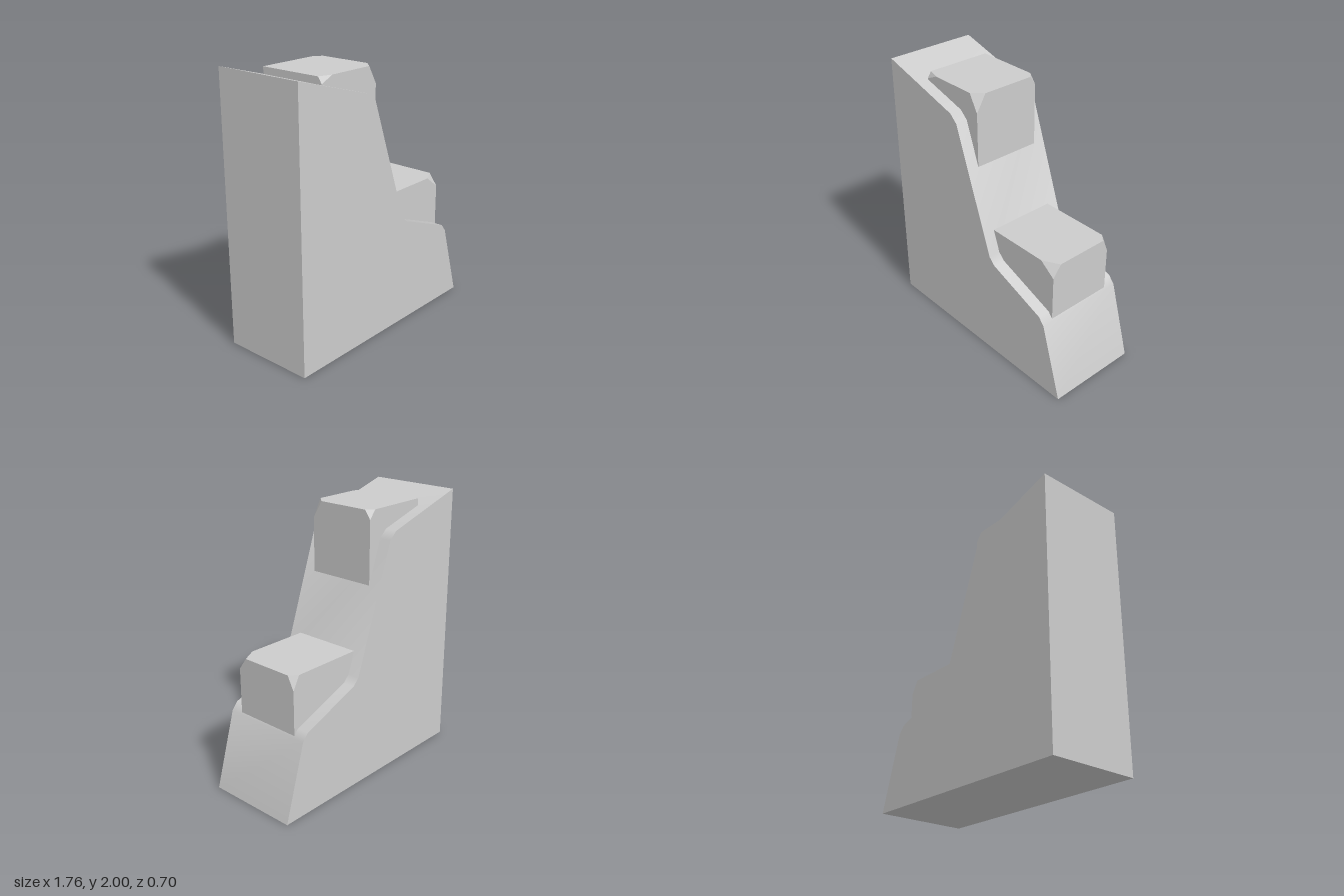
import * as THREE from 'three';
import { toCreasedNormals } from 'three/addons/utils/BufferGeometryUtils.js';
import { ConvexGeometry } from 'three/addons/geometries/ConvexGeometry.js';

const HALF_DEPTH = 0.35;
const BLOCK_HALF = 0.26;

// Block from x0 to x1 and y0 to y1; each chip cuts a top corner.
// A chip is [sideX, sideZ, cutX, cutY, cutZ].
function blockGeometry(x0, x1, y0, y1, chips) {
  const points = [];
  for (const sx of [-1, 1]) {
    for (const sz of [-1, 1]) {
      const x = sx < 0 ? x0 : x1;
      const z = sz * BLOCK_HALF;
      points.push(new THREE.Vector3(x, y0, z));
      const chip = chips.find((c) => c[0] === sx && c[1] === sz);
      if (chip) {
        const [, , cx, cy, cz] = chip;
        points.push(
          new THREE.Vector3(x - sx * cx, y1, z),
          new THREE.Vector3(x, y1 - cy, z),
          new THREE.Vector3(x, y1, z - sz * cz)
        );
      } else {
        points.push(new THREE.Vector3(x, y1, z));
      }
    }
  }
  return new ConvexGeometry(points);
}

export function createModel() {
  const group = new THREE.Group();
  group.name = 'steppedBlock';
  const grey = new THREE.MeshStandardMaterial({ color: 0xcccccc });
  grey.name = 'light grey';

  const add = (name, geometry) => {
    const mesh = new THREE.Mesh(geometry, grey);
    mesh.name = name;
    group.add(mesh);
  };

  // Sloping stepped body, softly shaded across its bends
  const profile = [
    [-0.88, 0], [0.88, 0], [0.715, 0.56], [0.67, 0.615], [0.21, 0.79],
    [0.16, 0.84], [-0.16, 1.755], [-0.22, 1.81], [-0.88, 2],
  ];
  const shape = new THREE.Shape(profile.map(([x, y]) => new THREE.Vector2(x, y)));
  const body = new THREE.ExtrudeGeometry(shape, { depth: 2 * HALF_DEPTH, bevelEnabled: false });
  body.translate(0, 0, -HALF_DEPTH);
  add('body', toCreasedNormals(body, 0.62));

  // Chipped blocks set into the two slopes
  add('upperBlock', blockGeometry(-0.58, -0.05, 1.41, 1.965, [
    [1, 1, 0.07, 0.125, 0.075],
    [1, -1, 0.05, 0.065, 0.045],
    [-1, 1, 0.1, 0.045, 0.03],
  ]));
  add('lowerBlock', blockGeometry(0.06, 0.705, 0.54, 1, [
    [1, 1, 0.12, 0.09, 0.065],
    [1, -1, 0.055, 0.1, 0.05],
  ]));

  return group;
}
